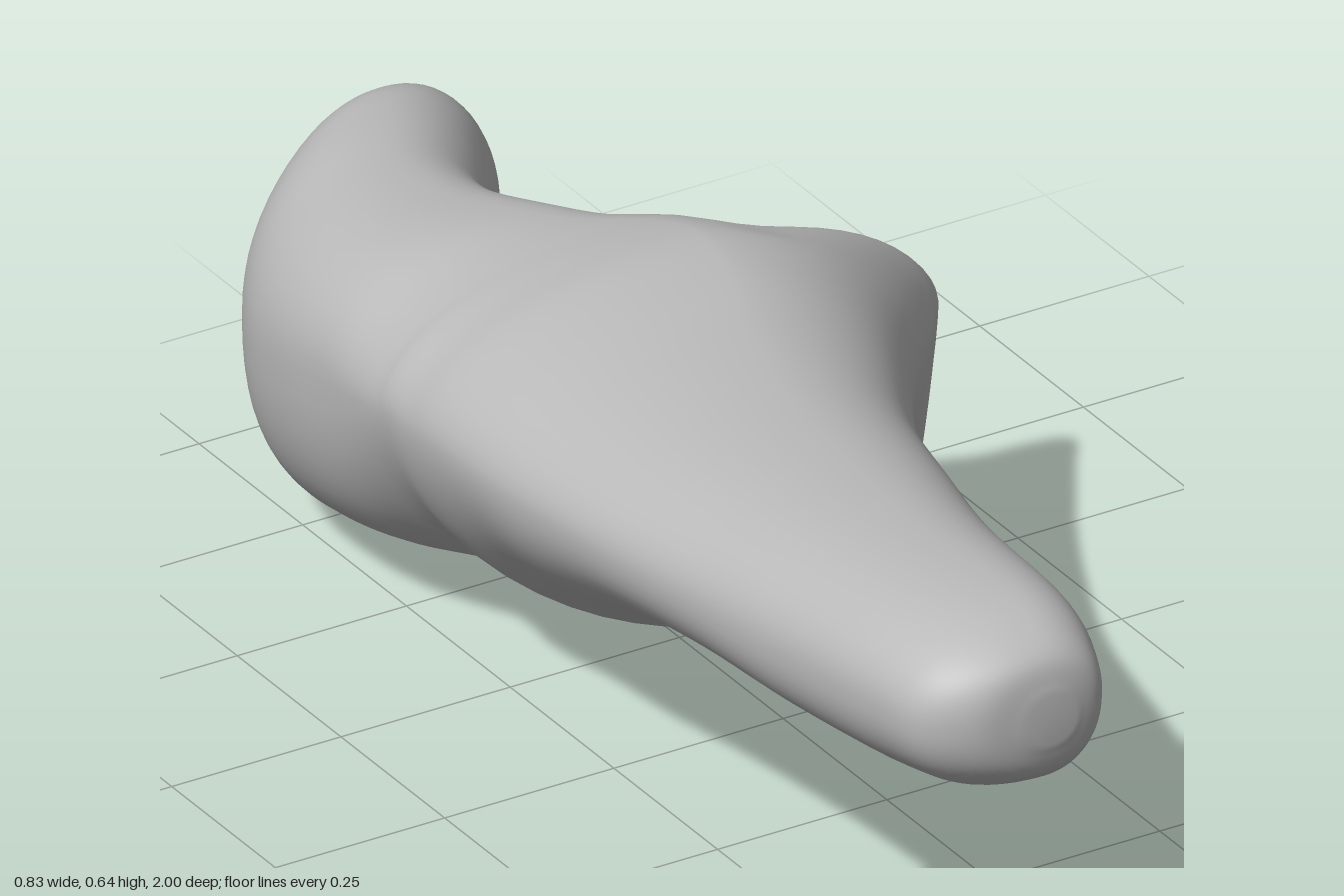
import * as THREE from 'three';

// Cross-sections from the front end to the back:
// z, left x, right x, bottom y, top y, x of top, x of bottom, y of left, y of right, roundness
const shaft = [
  [1.0, -0.25, -0.18, 0.49, 0.56, -0.215, -0.215, 0.52, 0.52, 2],
  [0.985, -0.32, -0.135, 0.445, 0.605, -0.22, -0.21, 0.53, 0.53, 2.2],
  [0.94, -0.372, -0.11, 0.412, 0.632, -0.21, -0.2, 0.53, 0.53, 2.2],
  [0.86, -0.39, -0.085, 0.39, 0.645, -0.2, -0.2, 0.53, 0.52, 2.2],
  [0.6, -0.4, -0.04, 0.355, 0.627, -0.19, -0.19, 0.5, 0.49, 2.2],
  [0.4, -0.405, 0.02, 0.33, 0.61, -0.16, -0.15, 0.48, 0.46, 2.1],
  [0.2, -0.412, 0.085, 0.275, 0.597, -0.12, -0.08, 0.46, 0.43, 2],
  [0.02, -0.415, 0.18, 0.18, 0.595, -0.07, 0.0, 0.44, 0.4, 1.9],
  [-0.1, -0.413, 0.26, 0.09, 0.6, -0.02, 0.08, 0.43, 0.37, 1.75],
];
const head = [
  [-0.2, -0.408, 0.34, 0.018, 0.6, 0.0, 0.13, 0.42, 0.35, 1.6],
  [-0.26, -0.403, 0.385, 0.0, 0.59, 0.0, 0.15, 0.41, 0.34, 1.57],
  [-0.31, -0.4, 0.412, 0.012, 0.578, -0.02, 0.13, 0.41, 0.35, 1.57],
  [-0.335, -0.398, 0.24, 0.03, 0.572, -0.04, 0.08, 0.4, 0.35, 1.75],
  [-0.39, -0.394, 0.11, 0.06, 0.56, -0.08, 0.0, 0.39, 0.33, 2],
  [-0.48, -0.387, 0.04, 0.065, 0.545, -0.12, -0.09, 0.37, 0.31, 2.3],
  [-0.6, -0.377, 0.008, 0.043, 0.523, -0.15, -0.12, 0.34, 0.29, 2.3],
  [-0.72, -0.35, 0.03, 0.018, 0.51, -0.14, -0.12, 0.31, 0.28, 2.2],
  [-0.82, -0.295, 0.085, 0.01, 0.507, -0.1, -0.11, 0.3, 0.28, 2.2],
  [-0.9, -0.215, 0.13, 0.035, 0.497, -0.05, -0.05, 0.29, 0.28, 2.1],
  [-0.955, -0.135, 0.128, 0.085, 0.455, 0.0, 0.0, 0.29, 0.28, 2.1],
  [-0.985, -0.07, 0.095, 0.15, 0.4, 0.015, 0.015, 0.29, 0.28, 2],
  [-1.0, 0.01, 0.03, 0.27, 0.3, 0.02, 0.02, 0.285, 0.285, 2],
];

// Point on a section made of four joined superellipse quarters; the left side stays round
function sectionPoint([z, xl, xr, yb, yt, xT, xB, yL, yR, roundness], angle) {
  const c = Math.cos(angle), s = Math.sin(angle);
  const p = c >= 0 ? roundness : Math.max(roundness, s >= 0 ? 2.05 : 1.75);
  const u = Math.pow(Math.abs(c), 2 / p), v = Math.pow(Math.abs(s), 2 / p);
  const xm = s >= 0 ? xT : xB, ym = c >= 0 ? yR : yL;
  const x = xm + ((c >= 0 ? xr : xl) - xm) * u;
  const y = ym + ((s >= 0 ? yt : yb) - ym) * v;
  // The rim of the side spur bows forward above and below its tip
  const rim = Math.exp(-(((z + 0.31) / 0.12) ** 2));
  const side = THREE.MathUtils.smoothstep(x, 0, 0.15) * THREE.MathUtils.smoothstep(y, -0.06, 0.12);
  return new THREE.Vector3(x, y, z + rim * side * Math.min(0.07, 1.6 * (y - 0.36) ** 2));
}

// Smooth closed skin through the sections
function loft(sections, around, along) {
  const columns = [];
  for (let j = 0; j < around; j++) {
    const angle = (j / around) * Math.PI * 2;
    const curve = new THREE.CatmullRomCurve3(sections.map((s) => sectionPoint(s, angle)), false, 'centripetal');
    columns.push(curve.getPoints((sections.length - 1) * along));
  }
  const rows = columns[0].length, positions = [], index = [];
  for (let i = 0; i < rows; i++) for (let j = 0; j < around; j++) positions.push(...columns[j][i].toArray());
  for (let i = 0; i < rows - 1; i++) {
    for (let j = 0; j < around; j++) {
      const k = (j + 1) % around;
      const a = i * around + j, b = a + around, c = (i + 1) * around + k, d = i * around + k;
      index.push(a, b, c, a, c, d);
    }
  }
  // Close both ends with a fan
  for (const [row, flip] of [[0, false], [rows - 1, true]]) {
    const centre = new THREE.Vector3();
    for (const col of columns) centre.addScaledVector(col[row], 1 / around);
    const n = positions.length / 3;
    positions.push(...centre.toArray());
    for (let j = 0; j < around; j++) {
      const a = row * around + j, b = row * around + ((j + 1) % around);
      if (flip) index.push(n, b, a);
      else index.push(n, a, b);
    }
  }
  const geometry = new THREE.BufferGeometry();
  geometry.setAttribute('position', new THREE.Float32BufferAttribute(positions, 3));
  geometry.setIndex(index);
  geometry.computeVertexNormals();
  return geometry;
}

export function createModel() {
  const group = new THREE.Group();
  group.name = 'boneEnd';
  const boneGrey = new THREE.MeshStandardMaterial({ color: 0xbababa });
  boneGrey.name = 'boneGrey';

  // One continuous bone: shaft, pointed side spur and hooked end
  const bone = new THREE.Mesh(loft([...shaft, ...head], 64, 5), boneGrey);
  bone.name = 'bone';
  group.add(bone);
  return group;
}
